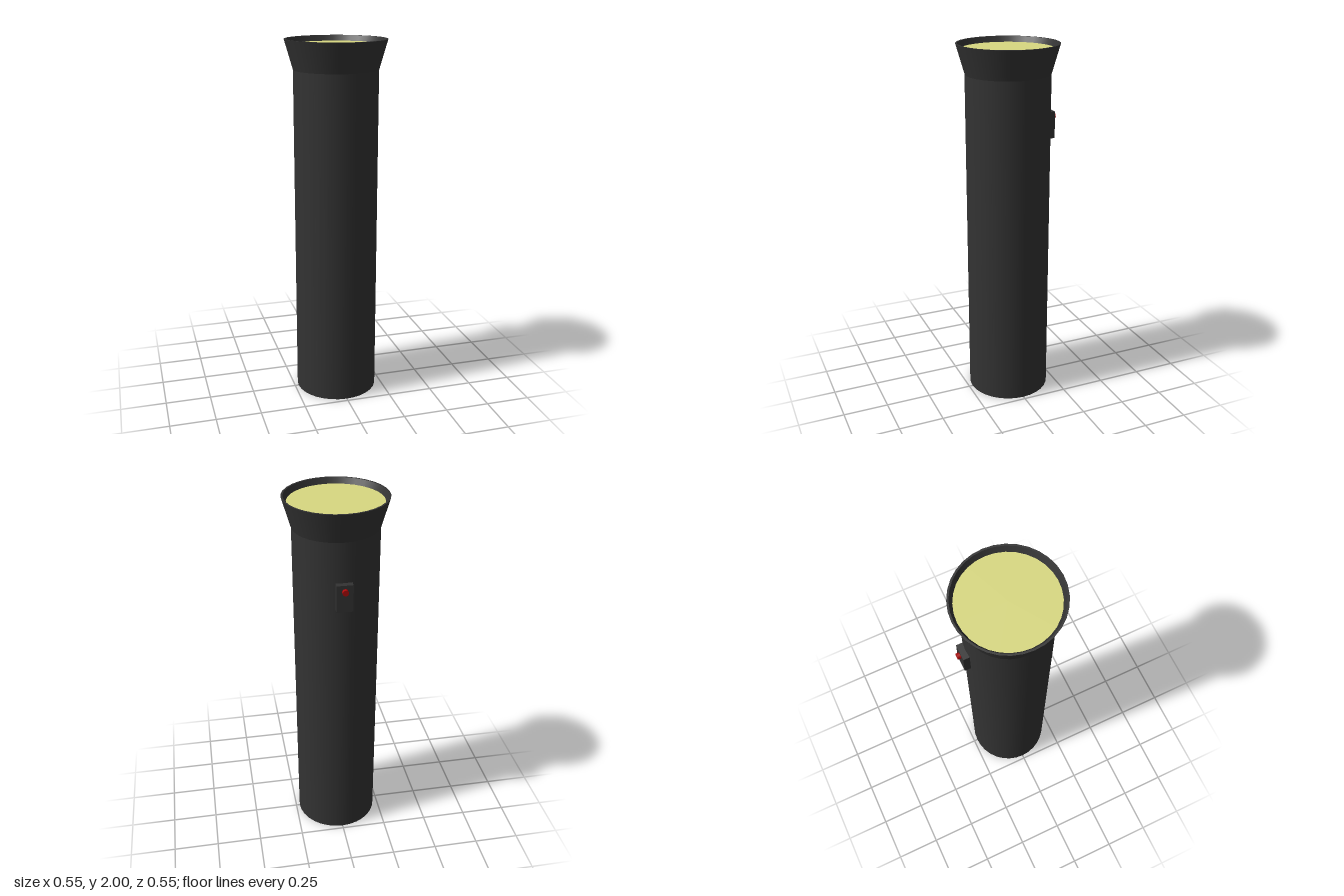
import * as THREE from 'three';

const dark = new THREE.MeshStandardMaterial({ color: 0x333333 });
const darkShell = new THREE.MeshStandardMaterial({ color: 0x333333, side: THREE.DoubleSide });
const yellow = new THREE.MeshStandardMaterial({ color: 0xd8d880 });
const red = new THREE.MeshStandardMaterial({ color: 0xaa0808 });

export function createModel() {
  const model = new THREE.Group();
  const SIDES = 32;

  const add = (name, geometry, material, x, y, z) => {
    const mesh = new THREE.Mesh(geometry, material);
    mesh.name = name;
    mesh.position.set(x, y, z);
    model.add(mesh);
    return mesh;
  };
  // One lathed band between two (radius, height) points, so edges between bands stay sharp
  const band = (name, r0, y0, r1, y1) =>
    add(name, new THREE.LatheGeometry(
      [new THREE.Vector2(r0, y0), new THREE.Vector2(r1, y1)], SIDES), darkShell, 0, 0, 0);

  // Barrel with closed bottom
  add('barrel', new THREE.CylinderGeometry(0.229, 0.229, 1.84, SIDES), dark, 0, 0.92, 0);

  // Flared head: outside, lip and inner wall
  band('headFlare', 0.229, 1.84, 0.275, 2);
  band('headLip', 0.275, 2, 0.265, 2);
  band('headInnerWall', 0.265, 2, 0.25, 1.97);

  // Lens recessed below the lip
  const lens = add('lens', new THREE.CircleGeometry(0.251, SIDES), yellow, 0, 1.97, 0);
  lens.rotation.x = -Math.PI / 2;

  // Switch on the back, plate and round button
  add('switchPlate', new THREE.BoxGeometry(0.086, 0.148, 0.05), dark, 0, 1.55, -0.234);
  const button = add('switchButton', new THREE.CylinderGeometry(0.016, 0.016, 0.03, 16), red, 0, 1.59, -0.262);
  button.rotation.x = -Math.PI / 2;

  return model;
}
